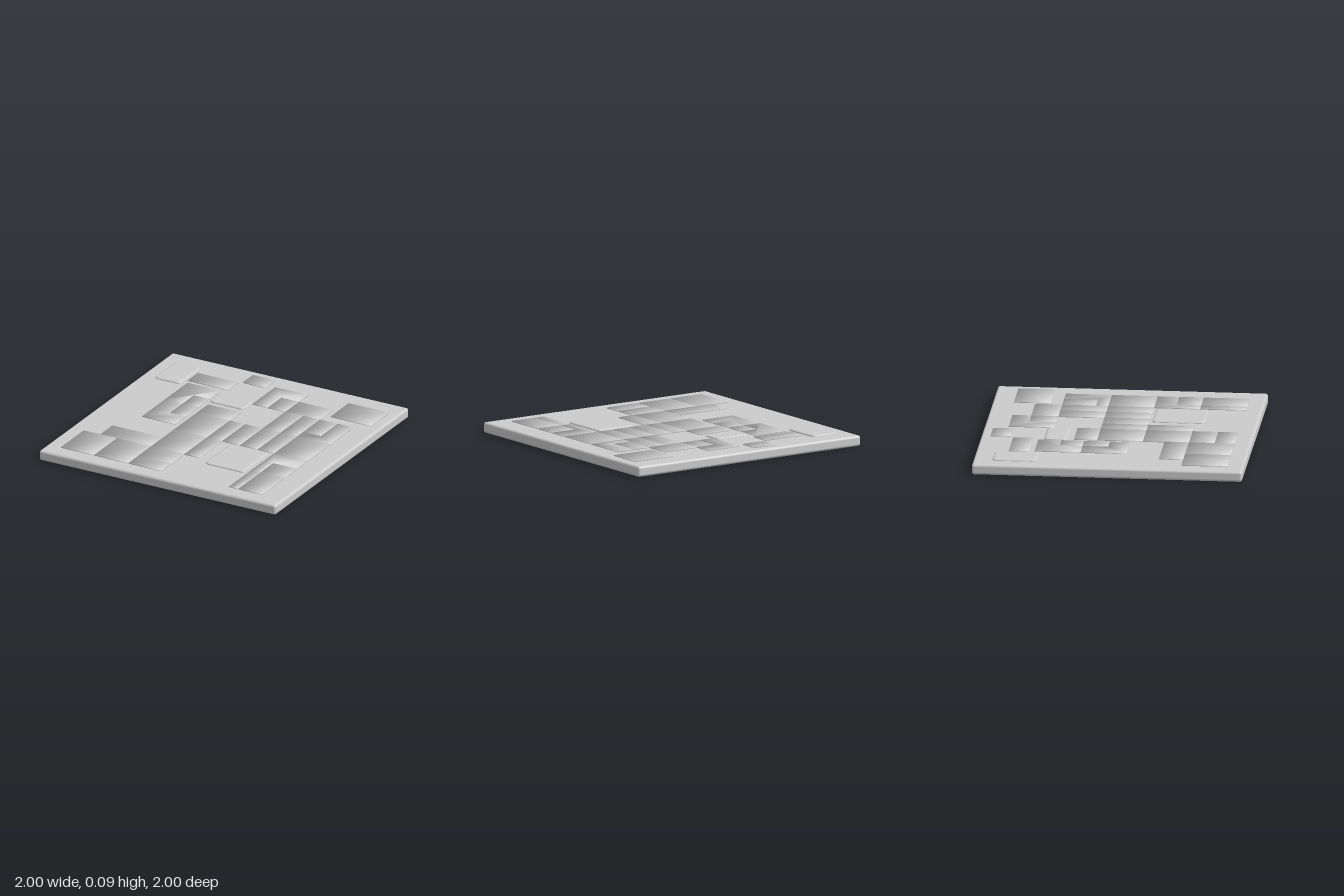
import * as THREE from 'three';
import { RoundedBoxGeometry } from 'three/addons/geometries/RoundedBoxGeometry.js';

const SLAB = 0.08;   // slab thickness
const TILE = 0.087;  // top of the thin plates
const PAD = 0.093;   // top of the bevelled pads

// Give coincident corners one shared normal, counting each wall direction once
function softenNormals(geo) {
  const p = geo.attributes.position, n = geo.attributes.normal, corners = new Map();
  const key = i => [p.getX(i), p.getY(i), p.getZ(i)].map(v => v.toFixed(3)).join();
  for (let i = 0; i < p.count; i++) {
    const k = key(i), v = new THREE.Vector3().fromBufferAttribute(n, i);
    if (!corners.has(k)) corners.set(k, []);
    const list = corners.get(k);
    if (!list.some(o => o.dot(v) > 0.99)) list.push(v);
  }
  for (let i = 0; i < p.count; i++) {
    const sum = new THREE.Vector3();
    corners.get(key(i)).forEach(v => sum.add(v));
    sum.normalize();
    n.setXYZ(i, sum.x, sum.y, sum.z);
  }
  return geo;
}

// Outline given as x,z corners; the plate sits half sunk in the slab
function plateGeometry(points) {
  const shape = new THREE.Shape(points.map(([x, z]) => new THREE.Vector2(x, -z)));
  const geo = new THREE.ExtrudeGeometry(shape, { depth: TILE - SLAB + 0.004, bevelEnabled: false });
  geo.rotateX(-Math.PI / 2).translate(0, SLAB - 0.004, 0);
  return softenNormals(geo);
}

const rect = (x0, x1, z0, z1) => [[x0, z0], [x1, z0], [x1, z1], [x0, z1]];

// L outline: corner (cx,cz), far ends (fx,fz), inner corner (ix,iz)
const ell = (cx, cz, fx, fz, ix, iz) => [[cx, cz], [fx, cz], [fx, iz], [ix, iz], [ix, fz], [cx, fz]];

// Pad with softly rounded corners and a sloping rim
function padGeometry(x0, x1, z0, z1) {
  const b = 0.022, r = 0.012, w = (x1 - x0) / 2 - b, h = (z1 - z0) / 2 - b;
  const s = new THREE.Shape();
  s.moveTo(-w + r, -h);
  s.lineTo(w - r, -h); s.quadraticCurveTo(w, -h, w, -h + r);
  s.lineTo(w, h - r); s.quadraticCurveTo(w, h, w - r, h);
  s.lineTo(-w + r, h); s.quadraticCurveTo(-w, h, -w, h - r);
  s.lineTo(-w, -h + r); s.quadraticCurveTo(-w, -h, -w + r, -h);
  const t = 0.011;
  const geo = new THREE.ExtrudeGeometry(s, {
    depth: 0.004, bevelEnabled: true, bevelThickness: t, bevelSize: b, bevelSegments: 4, curveSegments: 4,
  });
  geo.rotateX(-Math.PI / 2);
  geo.translate((x0 + x1) / 2, PAD - 0.004 - t, (z0 + z1) / 2);
  return geo;
}

export function createModel() {
  const group = new THREE.Group();
  const material = new THREE.MeshStandardMaterial({ color: 0xcccccc });
  const add = (name, geo) => {
    const mesh = new THREE.Mesh(geo, material);
    mesh.name = name;
    group.add(mesh);
    return mesh;
  };

  // Square slab with rounded edges
  add('slab', new RoundedBoxGeometry(2, SLAB, 2, 4, 0.02)).position.y = SLAB / 2;

  // Rectangular plates: x from, x to, z from, z to
  [
    [-0.28, -0.09, -0.93, -0.78], [-0.65, -0.31, -0.76, -0.61], [0.58, 0.92, -0.84, -0.57],
    [0.1, 0.25, -0.68, -0.48], [0.25, 0.54, -0.68, -0.48],
    [-0.48, -0.35, -0.4, -0.23], [-0.48, -0.35, -0.23, -0.04],
    [-0.31, -0.03, -0.31, -0.14],
    [0.25, 0.4, -0.48, -0.14], [0.4, 0.54, -0.48, -0.14], [0.54, 0.69, -0.48, -0.23],
    [-0.31, -0.03, 0.2, 0.54], [-0.03, 0.1, 0.2, 0.54],
    [0.62, 0.82, 0.36, 0.54], [0.54, 0.62, 0.54, 0.88], [0.62, 0.82, 0.54, 0.88],
    [-0.74, -0.31, 0.36, 0.54], [-0.88, -0.6, 0.54, 0.88], [-0.6, -0.31, 0.54, 0.88],
    [-0.31, -0.03, 0.54, 0.73], [-0.31, -0.03, 0.73, 0.88],
  ].forEach(r => add('plate', plateGeometry(rect(...r))));

  // Row of plates across the middle
  const row = [-0.31, -0.03, 0.1, 0.25, 0.4, 0.54, 0.82];
  for (let i = 0; i < row.length - 1; i++) {
    add('middlePlate', plateGeometry(rect(row[i], row[i + 1], -0.14, 0.2)));
  }

  // L-shaped plates
  [
    [-0.03, -0.82, 0.25, -0.48, 0.1, -0.68],
    [-0.63, -0.57, -0.35, -0.23, -0.48, -0.4],
    [-0.63, 0.11, -0.35, -0.23, -0.48, -0.04],
    [0.82, -0.14, 0.54, -0.48, 0.69, -0.23],
    [0.54, 0.2, 0.82, 0.54, 0.62, 0.36],
  ].forEach(l => add('cornerPlate', plateGeometry(ell(...l))));

  // Bevelled pads standing a little higher
  [
    [-0.89, -0.67, -0.86, -0.53],
    [-0.33, -0.04, -0.53, -0.36],
    [0.18, 0.51, 0.22, 0.61],
  ].forEach(r => add('raisedPad', padGeometry(...r)));

  return group;
}
